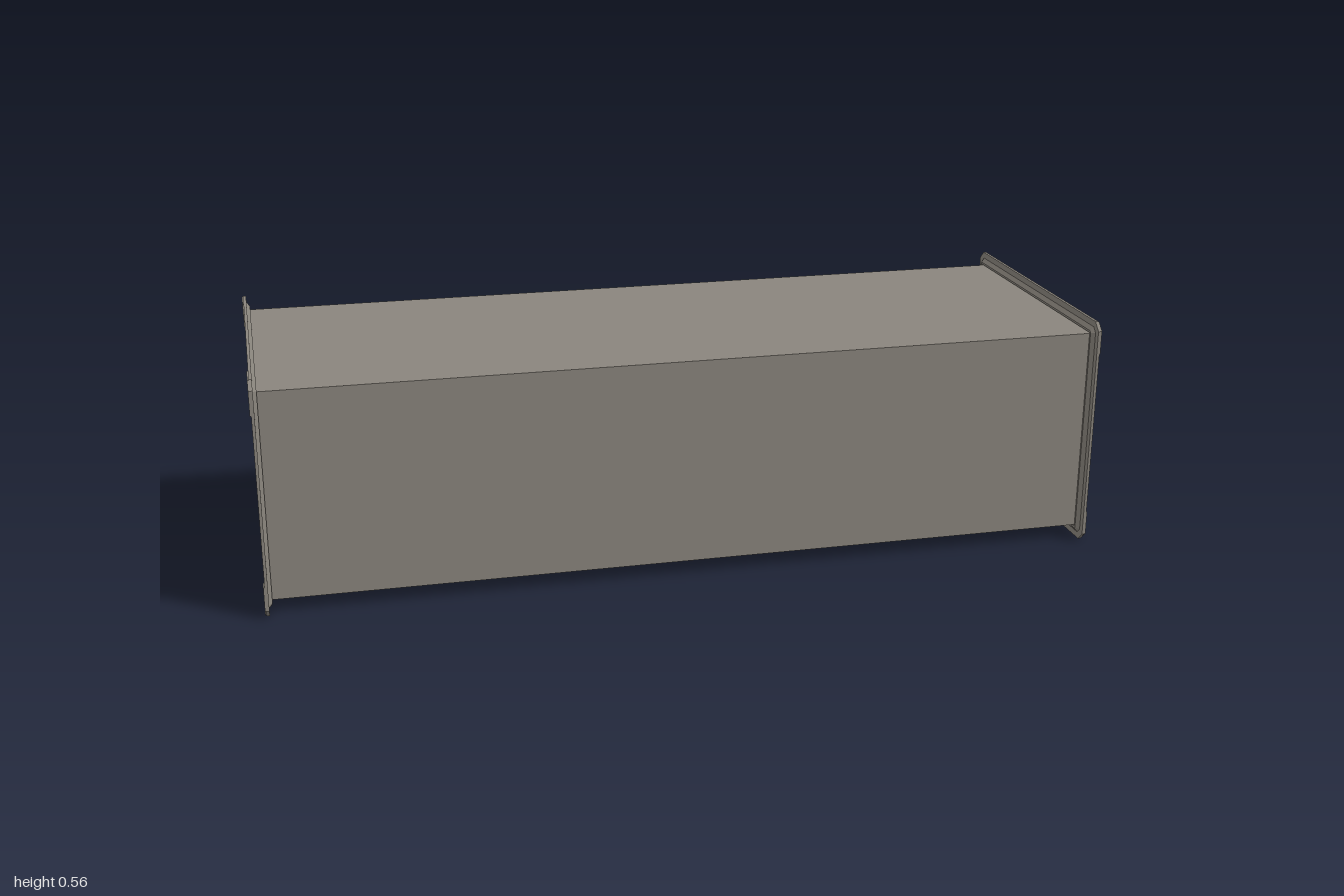
import * as THREE from 'three';

const CY = 0.286;            // height of the duct axis
const HZ = 0.334, HY = 0.249; // half depth and half height of the duct

// Rectangle outline with cut corners, in (z, y) around the axis
function outline(hz, hy, cut) {
  const p = [];
  for (const [sz, sy] of [[1, 1], [-1, 1], [-1, -1], [1, -1]]) {
    const a = [sz * hz, sy * (hy - cut)], b = [sz * (hz - cut), sy * hy];
    p.push(...(sz * sy > 0 ? [a, b] : [b, a]));
  }
  return p;
}

// Sweep a closed profile of [offset, x, cornerCut] round the duct
function frameGeometry(profile) {
  const rings = profile.map(([o, x, cut]) =>
    outline(HZ + o, HY + o, cut).map(([z, y]) => new THREE.Vector3(x, y, z)));
  const pos = [];
  const add = (...v) => v.forEach(q => pos.push(q.x, q.y, q.z));
  for (let i = 0; i < rings.length; i++) {
    const r = rings[i], s = rings[(i + 1) % rings.length];
    for (let j = 0; j < 8; j++) {
      const k = (j + 1) % 8;
      add(r[j], s[j], s[k], r[j], s[k], r[k]);
    }
  }
  const g = new THREE.BufferGeometry();
  g.setAttribute('position', new THREE.Float32BufferAttribute(pos, 3));
  g.computeVertexNormals();
  return g;
}

export function createModel() {
  const model = new THREE.Group();
  model.name = 'rectangularDuct';
  const steel = new THREE.MeshStandardMaterial({ color: 0x8a857d, side: THREE.DoubleSide });
  steel.name = 'galvanisedSteel';

  const add = (parent, geometry, name) => {
    const mesh = new THREE.Mesh(geometry, steel);
    mesh.name = name;
    parent.add(mesh);
    return mesh;
  };

  // Hollow body, open at both ends
  const toPoints = (hz, hy) => [[hz, hy], [-hz, hy], [-hz, -hy], [hz, -hy]]
    .map(([z, y]) => new THREE.Vector2(z, y));
  const section = new THREE.Shape(toPoints(HZ, HY));
  section.holes.push(new THREE.Path(toPoints(0.296, 0.211)));
  const body = new THREE.ExtrudeGeometry(section, { depth: 1.984, bevelEnabled: false });
  body.translate(0, 0, -0.992).rotateY(Math.PI / 2);
  add(model, body, 'ductBody').position.y = CY;

  // Flange: thick foot against the body, thin upright lip
  const profile = [
    [0.003, 0.982, 0.002], [0.003, 0.997, 0.002], [0.033, 0.997, 0.02],
    [0.033, 0.990, 0.02], [0.018, 0.990, 0.012], [0.008, 0.982, 0.004],
  ];
  const flangeGeometry = frameGeometry(profile);

  // L-shaped corner plate with cut outer corner, in (z, y)
  const oz = HZ + 0.031, oy = HY + 0.031, w = 0.028, c = 0.018;
  const corner = new THREE.Shape([
    [oz, 0.204], [oz, oy - c], [oz - c, oy], [0.276, oy],
    [0.276, oy - w], [oz - w, oy - w], [oz - w, 0.204],
  ].map(([z, y]) => new THREE.Vector2(z, y)));
  const bolt = new THREE.Path();
  bolt.absarc(HZ + 0.011, HY + 0.011, 0.004, 0, Math.PI * 2, true);
  corner.holes.push(bolt);
  const cornerGeometry = new THREE.ExtrudeGeometry(corner,
    { depth: 0.003, bevelEnabled: false, curveSegments: 6 });
  // Shape x runs along -z after the turn; all four corners are mirrored below
  cornerGeometry.rotateY(Math.PI / 2).translate(0.997, 0, 0);

  for (const side of [1, -1]) {
    const end = new THREE.Group();
    end.name = side > 0 ? 'leftEndFlange' : 'rightEndFlange';
    end.position.y = CY;
    if (side < 0) end.rotation.y = Math.PI;
    add(end, flangeGeometry, 'flangeFrame');
    for (const sz of [1, -1]) for (const sy of [1, -1]) {
      add(end, cornerGeometry, 'cornerPlate').scale.set(1, sy, sz);
    }
    model.add(end);
  }
  return model;
}
